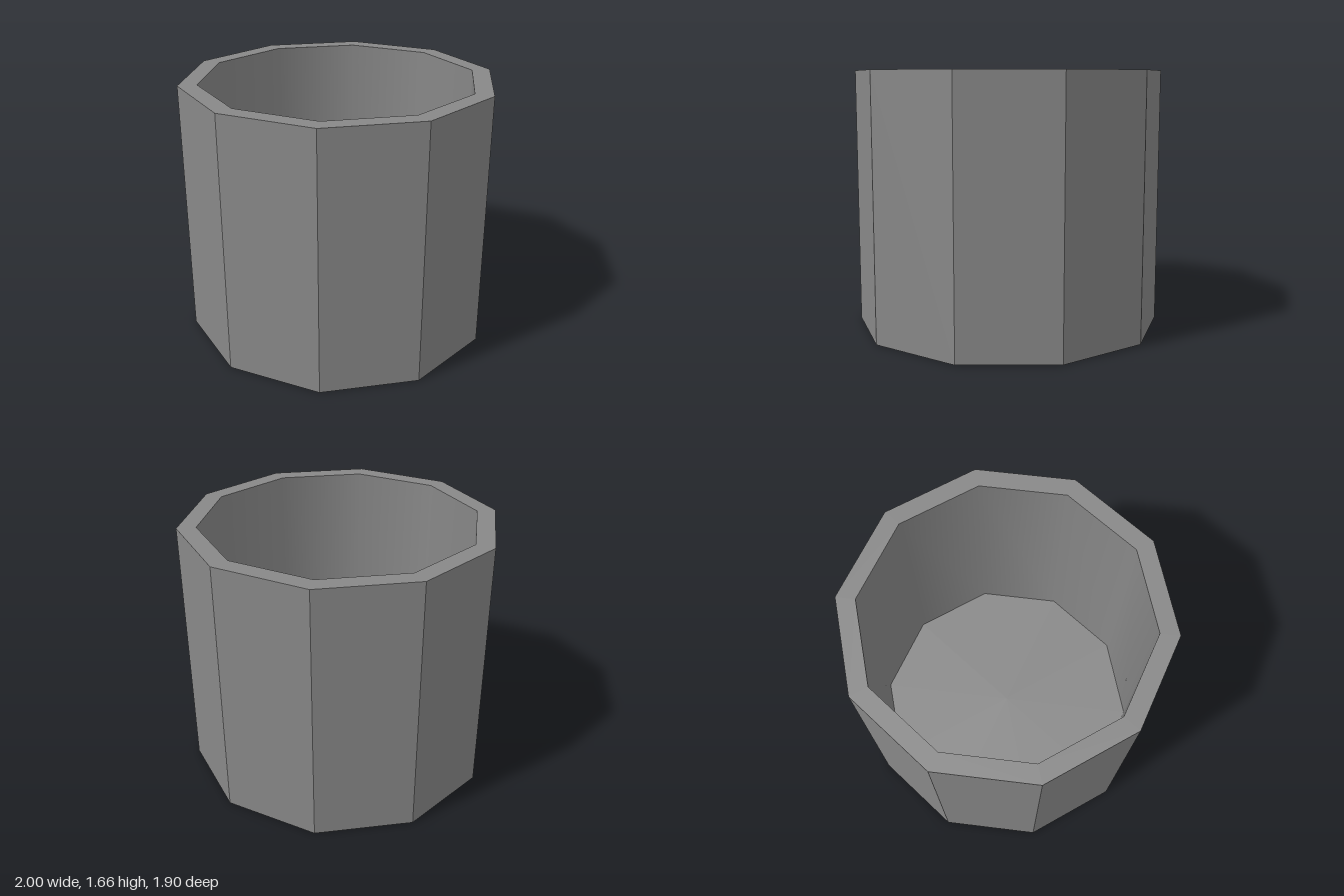
import * as THREE from 'three';

const SIDES = 10, HEIGHT = 1.665, OUTER = 1, INNER = 0.88, FLOOR = 0.12;

// Turns a [radius, height] profile into a ten-sided form with corners on the x axis
function turned(name, profile, flatShading) {
  const points = profile.map(([r, y]) => new THREE.Vector2(r, y));
  const geometry = new THREE.LatheGeometry(points, SIDES, Math.PI / 2);
  geometry.normalizeNormals();
  const mesh = new THREE.Mesh(geometry, new THREE.MeshStandardMaterial({ color: 0x888888, flatShading }));
  mesh.name = name;
  return mesh;
}

export function createModel() {
  const pot = new THREE.Group();
  pot.name = 'pot';

  // Faceted outside: underside, wall and flat rim
  pot.add(turned('outerShell', [[0, 0], [OUTER, 0], [OUTER, HEIGHT], [INNER, HEIGHT]], true));

  // Smooth-shaded inside wall, running down so that it faces inwards
  pot.add(turned('innerWall', [[INNER, HEIGHT], [INNER, FLOOR]], false));

  // Flat inside floor
  pot.add(turned('innerFloor', [[INNER, FLOOR], [0, FLOOR]], true));

  return pot;
}
